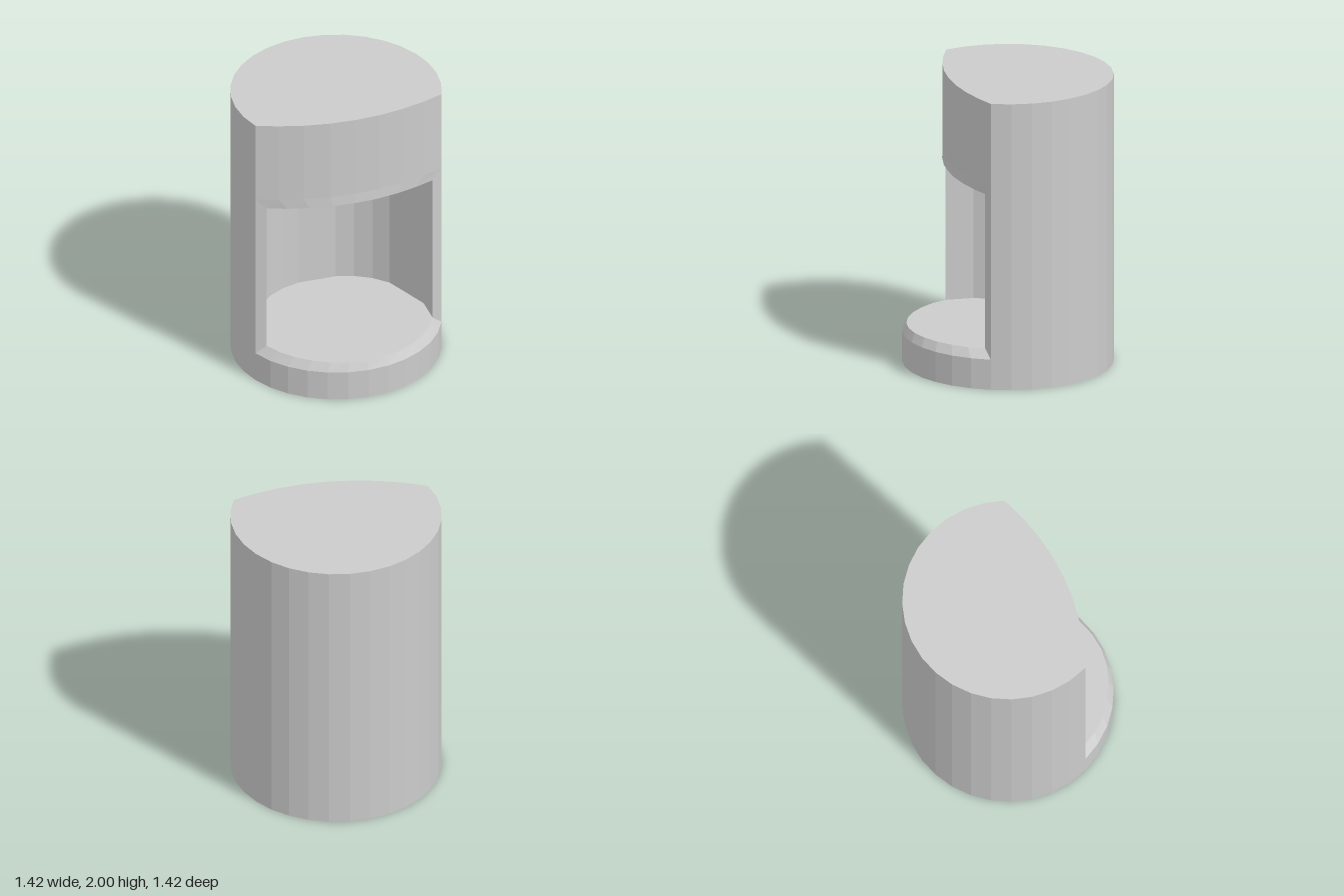
import * as THREE from 'three';

const R = 0.71, TOP = 2;
const RIM = 0.21, FLOOR = 0.27, CEILING = 1.35, PANEL = 1.42;
const JAMB = [0.585, 0.295];          // inner edge of the opening (x, z)

// Points [x, z] on the 32-sided outline; step 0 is the front, growing towards +x
function outline(from, to) {
  const pts = [];
  for (let i = from; i <= to; i++) {
    const a = (i / 32) * Math.PI * 2;
    pts.push([R * Math.sin(a), R * Math.cos(a)]);
  }
  return pts;
}

// Mirrors a half curve (from the centre out to +x) into a left-to-right curve
function mirrored(half) {
  const left = half.filter(([x]) => x > 0).map(([x, z]) => [-x, z]).reverse();
  return [...left, ...half];
}

const at = (pts, y) => pts.map(([x, z]) => [x, y, z]);

export function createModel() {
  const group = new THREE.Group();
  const material = new THREE.MeshStandardMaterial({ color: 0xcccccc, flatShading: true });

  function add(name, geometry) {
    const mesh = new THREE.Mesh(geometry, material);
    mesh.name = name;
    group.add(mesh);
  }

  // Band of quads between two 3D curves running left to right as seen from outside
  function band(name, low, high) {
    const pos = [];
    for (let i = 0; i < low.length - 1; i++) {
      pos.push(...low[i], ...low[i + 1], ...high[i + 1]);
      pos.push(...low[i], ...high[i + 1], ...high[i]);
    }
    const g = new THREE.BufferGeometry();
    g.setAttribute('position', new THREE.Float32BufferAttribute(pos, 3));
    g.computeVertexNormals();
    add(name, g);
  }

  // Flat horizontal face, facing up or down
  function cap(name, pts, y, up) {
    const shape = new THREE.Shape(pts.map(([x, z]) => new THREE.Vector2(x, up ? -z : z)));
    const g = new THREE.ShapeGeometry(shape);
    g.rotateX(up ? -Math.PI / 2 : Math.PI / 2);
    g.translate(0, y, 0);
    add(name, g);
  }

  const front = outline(-6, 6);
  const back = outline(6, 26);
  const corner = front[12];

  // Curved front panel and the slightly narrower curve of its lower lip
  const panel = mirrored([[0, 0.408], [0.172, 0.4], [0.345, 0.371], [0.51, 0.326], corner]);
  const k = JAMB[0] / corner[0];
  const lip = panel.map(([x, z]) => [x * k, z + 0.005 + 0.018 * (x / corner[0]) ** 2]);

  // Front rim of the floor and the back wall of the recess
  const rim = front.map(([x, z]) => [x * k, z - 0.025 + 0.048 * (x / corner[0]) ** 4]);
  const recess = mirrored([[0.13, -0.41], [0.25, -0.375], [0.36, -0.31], [0.45, -0.22],
    [JAMB[0], 0.1], JAMB]);
  recess[0] = lip[0];
  recess[recess.length - 1] = lip[lip.length - 1];
  rim[0] = lip[0];
  rim[rim.length - 1] = lip[lip.length - 1];
  const recessBack = recess.slice(1, -1).reverse();

  // Outer body
  band('outerWall', at(back, 0), at(back, TOP));
  band('baseFront', at(front, 0), at(front, RIM));
  cap('underside', outline(0, 31), 0, false);
  cap('top', [...panel, ...back.slice(1, -1)], TOP, true);

  // Upper front panel with its bevelled lower edge
  band('frontPanel', at(panel, PANEL), at(panel, TOP));
  band('panelBevel', at(lip, CEILING), at(panel, PANEL));

  // Chamfered base, floor, ceiling and wall of the recess
  band('baseChamfer', at(front, RIM), at(rim, FLOOR));
  cap('recessFloor', [...rim, ...recessBack], FLOOR, true);
  cap('recessCeiling', [...lip, ...recessBack], CEILING, false);
  band('recessWall', at(recess, FLOOR), at(recess, CEILING));

  // Mitred strips on both sides of the opening
  for (const s of [-1, 1]) {
    const inner = [s * lip[lip.length - 1][0], lip[lip.length - 1][1]];
    const outer = [s * corner[0], corner[1]];
    const low = [[inner[0], FLOOR, inner[1]], [outer[0], RIM, outer[1]]];
    const high = [[inner[0], CEILING, inner[1]], [outer[0], PANEL, outer[1]]];
    if (s < 0) { low.reverse(); high.reverse(); }
    band(s < 0 ? 'rightJamb' : 'leftJamb', low, high);
  }

  return group;
}
